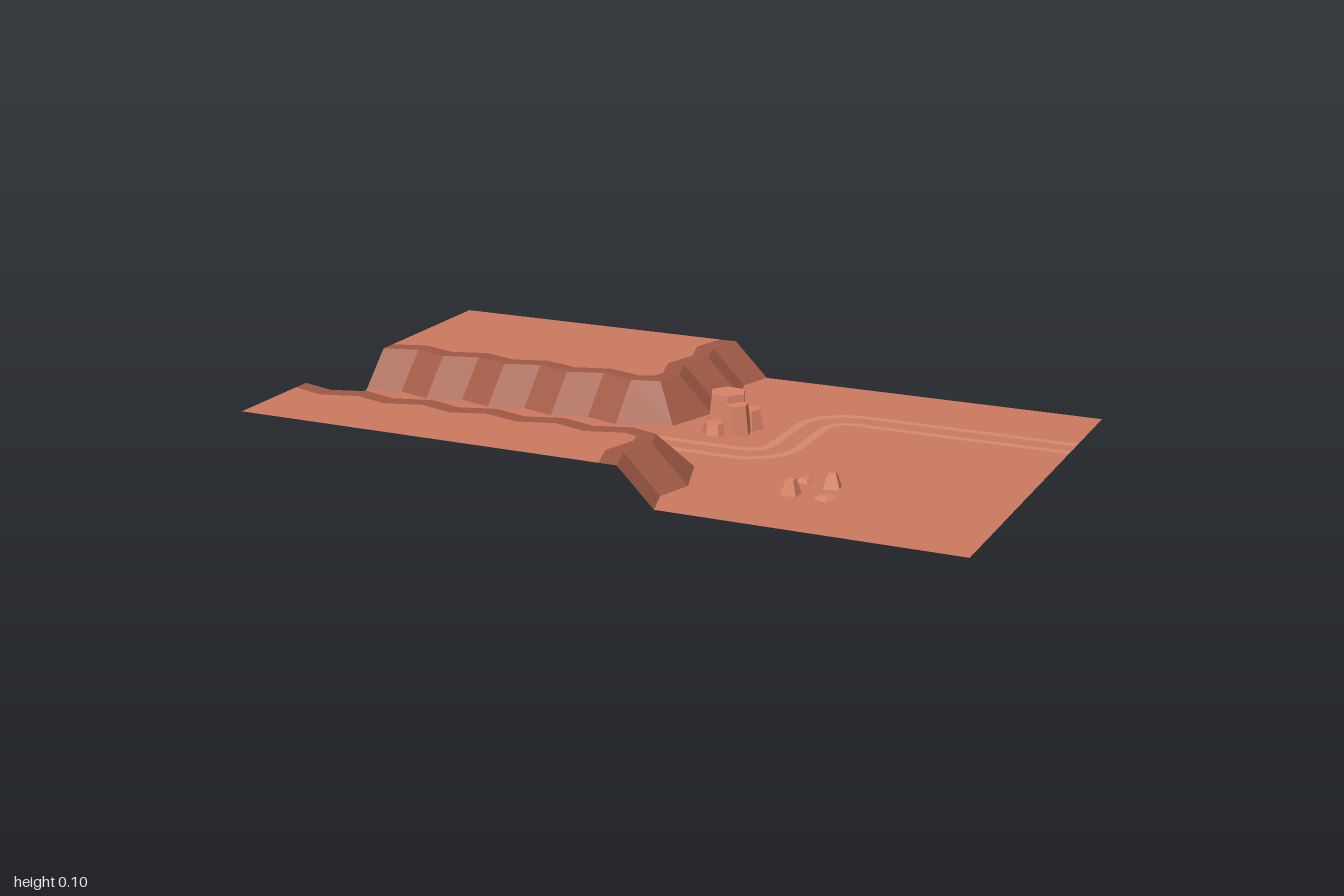
import * as THREE from 'three';

const mat = (color) => new THREE.MeshStandardMaterial({ color, flatShading: true, side: THREE.DoubleSide });
const sand = mat(0xcc7a5f), cliffRock = mat(0xa05a45), trackSand = mat(0xda8a70), boulder = mat(0xd98468);
const TOP = 0.1; // plateau height

// Flat sheet from an [x, z] outline, facing up
function sheet(points, y) {
  const shape = new THREE.Shape(points.map(([x, z]) => new THREE.Vector2(x, -z)));
  return new THREE.ShapeGeometry(shape).rotateX(-Math.PI / 2).translate(0, y, 0);
}

// Band of quads joining two [x, z] chains at their own heights
function band(a, ya, b, yb) {
  const pos = [], index = [];
  a.forEach((p, i) => {
    pos.push(p[0], ya, p[1], b[i][0], yb, b[i][1]);
    if (i) {
      const k = 2 * (i - 1);
      index.push(k, k + 2, k + 1, k + 2, k + 3, k + 1);
    }
  });
  const g = new THREE.BufferGeometry();
  g.setAttribute('position', new THREE.Float32BufferAttribute(pos, 3));
  g.setIndex(index);
  g.computeVertexNormals();
  return g;
}

// Zigzag cliff lines, set back by d from the foot of the cliff
const zig = (i) => (i % 2) * 0.03;
function backLine(d, corner) {
  const pts = [];
  for (let i = 0; i <= 8; i++) pts.push([-1 + i * 0.1, -d - zig(i)]);
  pts.push(corner);
  for (let j = 0; j <= 4; j++) pts.push([-d - zig(j), -0.2 - j * 0.1]);
  return pts;
}
function frontLine(d, corner) {
  const pts = [];
  for (let i = 0; i <= 10; i++) pts.push([-1 + i * 0.1, 0.2 + d + zig(i)]);
  pts.push(corner);
  for (let j = 0; j <= 2; j++) pts.push([0.2 - d - zig(j), 0.4 + j * 0.1]);
  return pts.reverse();
}

// Wheel track line, offset sideways from the middle of the road
function trackLine(o) {
  const pts = [[-0.71, 0.1 + o]], n = 8;
  for (let i = 0; i <= n; i++) {
    const a = (Math.PI / 2) * (1 - i / n), r = 0.1 + o;
    pts.push([0.2 + r * Math.cos(a), r * Math.sin(a)]);
  }
  for (let i = 0; i <= n; i++) {
    const a = Math.PI + (Math.PI / 2) * (i / n), r = 0.1 - o;
    pts.push([0.4 + r * Math.cos(a), -0.2 + r * Math.sin(a)]);
  }
  pts.push([1, -0.3 + o]);
  return pts;
}

export function createModel() {
  const model = new THREE.Group();
  const add = (name, geometry, material, parent = model) => {
    const mesh = new THREE.Mesh(geometry, material);
    mesh.name = name;
    parent.add(mesh);
    return mesh;
  };

  // Each side: foot of cliff, cliff edge, inner line of the dark rim
  const back = [backLine(0, [-0.05, -0.05]), backLine(0.1, [-0.12, -0.12]), backLine(0.15, [-0.16, -0.165])];
  const front = [frontLine(0, [0.15, 0.25]), frontLine(0.1, [0.075, 0.325]), frontLine(0.15, [0.04, 0.365])];

  // Valley floor
  add('valleyFloor', sheet([...back[0], [1, -0.6], [1, 0.6], ...front[0]], 0), sand);

  // Cliffs, rims and plateaus
  for (const [side, [foot, edge, inner], outer] of [['back', back, [-1, -0.6]], ['front', front, [-1, 0.6]]]) {
    add(side + 'Cliff', band(foot, 0, edge, TOP), cliffRock);
    add(side + 'Rim', band(edge, TOP, inner, TOP), cliffRock);
    add(side + 'Plateau', sheet([...inner, outer], TOP), sand);
  }

  // Pair of wheel tracks
  for (const o of [-0.0375, 0.0375]) {
    add('wheelTrack', band(trackLine(o + 0.0125), 0.001, trackLine(o - 0.0125), 0.001), trackSand);
  }

  // Cluster of six-sided rock pillars: x, z, top radius, bottom radius, height, turn
  const pillars = new THREE.Group();
  pillars.name = 'rockPillars';
  model.add(pillars);
  for (const [x, z, rt, rb, h, turn] of [
    [0.09, -0.105, 0.05, 0.062, 0.1, 0.4],
    [0.13, -0.068, 0.034, 0.044, 0.08, 0.2],
    [0.145, -0.122, 0.032, 0.042, 0.055, 0.6],
    [0.05, -0.155, 0.03, 0.04, 0.03, 0.3],
    [0.08, -0.038, 0.028, 0.036, 0.03, 0.7],
  ]) {
    const g = new THREE.CylinderGeometry(rt, rb, h, 6).rotateY(turn).translate(x, h / 2, z);
    add('rockPillar', g, boulder, pillars);
  }

  // Small four-sided stones: x, z, top radius, bottom radius, height, turn
  const stones = new THREE.Group();
  stones.name = 'smallStones';
  model.add(stones);
  for (const [x, z, rt, rb, h, turn] of [
    [0.455, 0.245, 0.016, 0.024, 0.01, 0.6],
    [0.533, 0.26, 0.014, 0.031, 0.04, 1.05],
    [0.458, 0.35, 0.014, 0.03, 0.04, 0.8],
    [0.55, 0.35, 0.016, 0.03, 0.01, 0.4],
  ]) {
    const g = new THREE.CylinderGeometry(rt, rb, h, 4).rotateY(turn).translate(x, h / 2, z);
    add('smallStone', g, boulder, stones);
  }

  return model;
}
